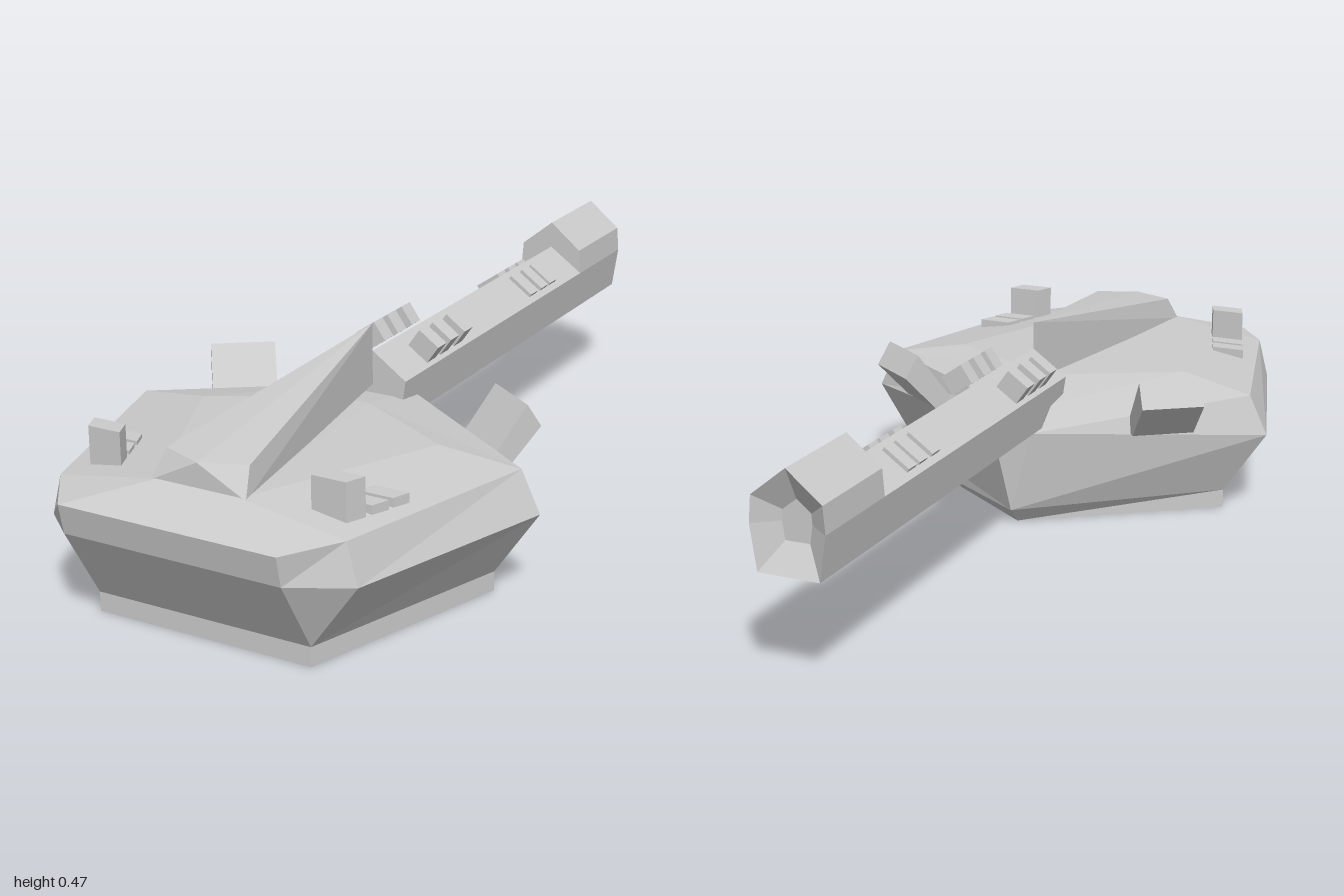
import * as THREE from 'three';
import { ConvexGeometry } from 'three/addons/geometries/ConvexGeometry.js';

const material = new THREE.MeshStandardMaterial({ color: 0xcccccc, flatShading: true });

const vectors = (points) => points.map((p) => new THREE.Vector3(...p));

// Completes a ring from its +x half
const mirrorRing = (half) => [...half, ...half.map(([x, y, z]) => [-x, y, z]).reverse()];

// Skins closed rings in order and caps both ends, flat shaded
function loft(rings) {
  const out = [];
  const tri = (a, b, c) => {
    const area = new THREE.Triangle(...vectors([a, b, c])).getArea();
    if (area > 1e-7) out.push(...a, ...b, ...c);
  };
  const n = rings[0].length;
  for (let r = 0; r < rings.length - 1; r++) {
    for (let i = 0; i < n; i++) {
      const j = (i + 1) % n;
      const [a, b, c, d] = [rings[r][i], rings[r][j], rings[r + 1][j], rings[r + 1][i]];
      tri(a, b, c);
      tri(a, c, d);
    }
  }
  const first = rings[0], last = rings[rings.length - 1];
  for (let i = 1; i < n - 1; i++) {
    tri(first[0], first[i + 1], first[i]);
    tri(last[0], last[i], last[i + 1]);
  }
  const geometry = new THREE.BufferGeometry();
  geometry.setAttribute('position', new THREE.Float32BufferAttribute(out, 3));
  geometry.computeVertexNormals();
  return geometry;
}

// Box whose sides lean in plan to follow the hull flank
function shearedBox(w, h, d, shear) {
  const geometry = new THREE.BoxGeometry(w, h, d);
  const p = geometry.attributes.position;
  for (let i = 0; i < p.count; i++) p.setX(i, p.getX(i) + shear * p.getZ(i));
  geometry.computeVertexNormals();
  return geometry;
}

export function createModel() {
  const model = new THREE.Group();
  const add = (name, geometry, parent = model) => {
    const mesh = new THREE.Mesh(geometry, material);
    mesh.name = name;
    parent.add(mesh);
    return mesh;
  };

  // Hull: faceted rings from the pentagonal base to the shallow roof
  add('hull', loft([
    [[0.26, 0, 0.88], [0.26, 0, 0.88], [0.42, 0, 0.39], [0, 0, 0.09]],
    [[0.26, 0.045, 0.88], [0.26, 0.045, 0.88], [0.42, 0.045, 0.39], [0, 0.04, 0.05]],
    [[0.26, 0.22, 0.985], [0.37, 0.2, 0.88], [0.525, 0.2, 0.39], [0.05, 0.24, 0.05]],
    [[0.26, 0.29, 1], [0.345, 0.295, 0.88], [0.48, 0.295, 0.39], [0.05, 0.295, 0.09]],
    [[0.1, 0.335, 0.88], [0.1, 0.335, 0.88], [0.3, 0.325, 0.42], [0.05, 0.325, 0.28]],
  ].map(mirrorRing)));

  // Ridge rising from the front plate to the barrel root
  add('roofRidge', new ConvexGeometry(vectors([
    [-0.115, 0.33, 0.88], [0.115, 0.33, 0.88], [-0.1, 0.39, 0.84], [0.1, 0.39, 0.84],
    [0, 0.39, 0.88], [0, 0.475, 0.18], [0, 0.33, 0.18],
  ])));

  // Barrel with a gabled top
  const barrelRing = (z) => mirrorRing([[0.07, 0.25, z], [0.085, 0.35, z], [0, 0.41, z]]);
  add('barrel', loft([barrelRing(-0.9), barrelRing(0.18)]));

  // Muzzle block with a recessed end
  const muzzleRing = (z, s = 1) => mirrorRing(
    [[0.07, 0.25], [0.085, 0.35], [0.08, 0.41], [0, 0.475]]
      .map(([x, y]) => [x * s, 0.35 + (y - 0.35) * s, z]));
  add('muzzle', loft([muzzleRing(-0.96, 0.4), muzzleRing(-1), muzzleRing(-0.755)]));

  for (const side of [1, -1]) {
    const group = new THREE.Group();
    group.name = side > 0 ? 'leftFittings' : 'rightFittings';
    model.add(group);

    // Barrel slats and cooling fins, lying on the gable slope
    for (const z of [-0.5, -0.56, -0.61]) {
      const slat = add('barrelSlat', new THREE.BoxGeometry(0.07, 0.016, 0.038), group);
      slat.position.set(side * 0.043, 0.381, z);
      slat.rotation.z = -side * 0.615;
    }
    for (const z of [0.05, -0.012, -0.08]) {
      const fin = add('coolingFin', new THREE.BoxGeometry(0.06, 0.05, 0.04), group);
      fin.position.set(side * 0.07, 0.398, z);
      fin.rotation.z = -side * 0.615;
    }

    // Two low roof vents followed by an upright sight
    [[0.32, 0.69], [0.302, 0.742]].forEach(([x, z]) => {
      add('roofVent', shearedBox(0.08, 0.04, 0.04, -side * 0.4), group)
        .position.set(side * x, 0.303, z);
    });
    add('sightBox', shearedBox(0.08, 0.09, 0.045, -side * 0.4), group)
      .position.set(side * 0.28, 0.345, 0.8);

    // Rear launcher: wedge profile swept along the slanted rear face
    const corners = [];
    for (const t of [-0.075, 0.075]) {
      for (const [n, y] of [[0, 0.37], [0.035, 0.315], [-0.11, 0.225], [-0.05, 0.225]]) {
        corners.push([side * (0.35 + 0.81 * t + 0.58 * n), y, 0.18 + 0.58 * t - 0.81 * n]);
      }
    }
    add('rearLauncher', new ConvexGeometry(vectors(corners)), group);
  }
  return model;
}
